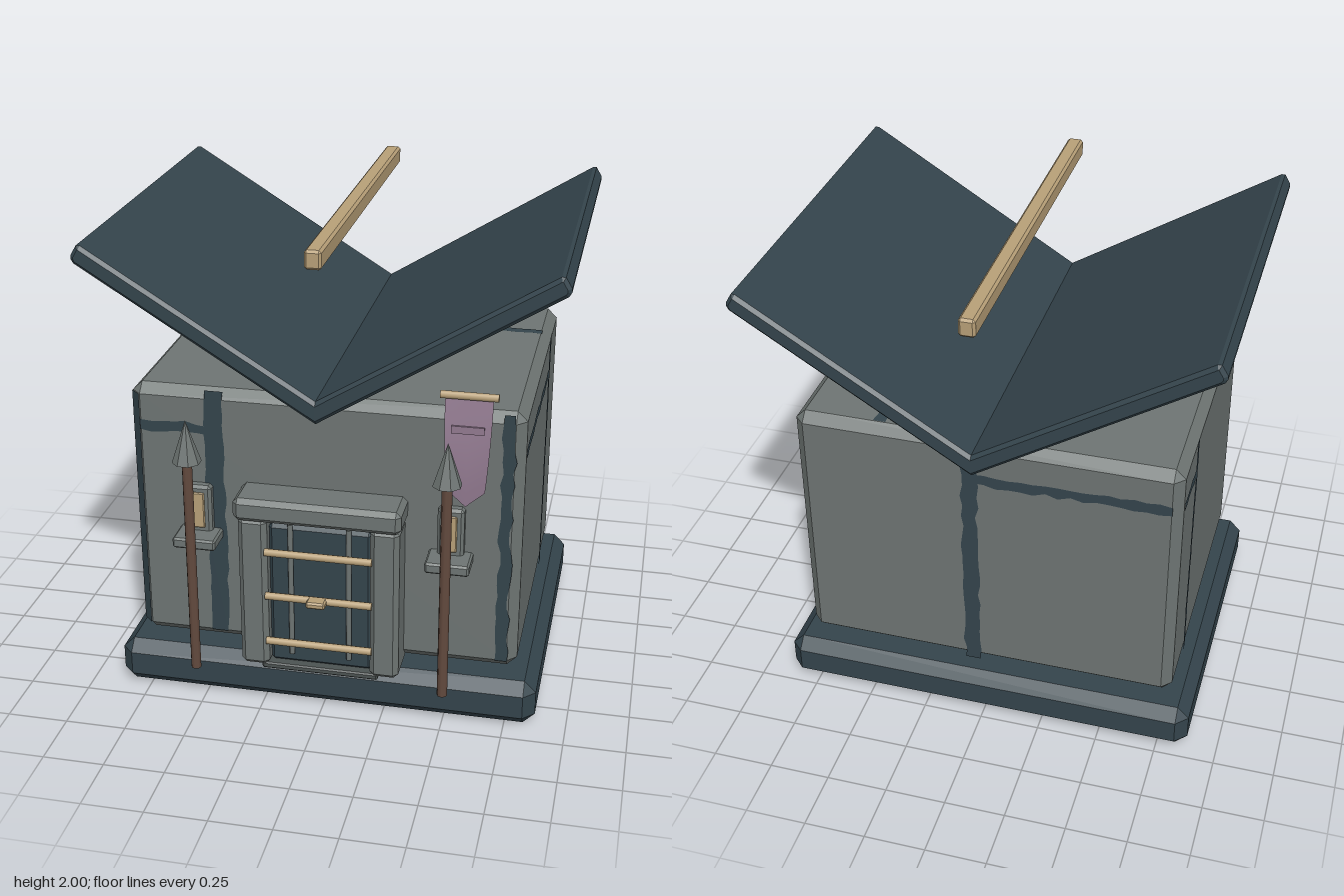
import * as THREE from 'three';
import { ConvexGeometry } from 'three/addons/geometries/ConvexGeometry.js';

const mat = (name, color, extra = {}) => {
  const m = new THREE.MeshStandardMaterial({ color, ...extra });
  m.name = name;
  return m;
};

export function createModel() {
  const model = new THREE.Group();
  model.name = 'hut';
  const stone = mat('stone grey', 0x6e7573);
  const slate = mat('slate blue', 0x34444c);
  const tan = mat('pale wood', 0xb8a078);
  const brown = mat('brown wood', 0x634a3e);
  const cloth = mat('purple cloth', 0x927a90, { side: THREE.DoubleSide });
  const shade = mat('dark stone', 0x4c5352);

  const add = (name, geo, material, x = 0, y = 0, z = 0, rx = 0, ry = 0, rz = 0) => {
    const m = new THREE.Mesh(geo, material);
    m.name = name;
    m.position.set(x, y, z);
    m.rotation.set(rx, ry, rz);
    model.add(m);
    return m;
  };

  // Box with flat chamfers, given by its limits
  const block = (name, material, [x0, x1], [y0, y1], [z0, z1], c) => {
    const h = [(x1 - x0) / 2, (y1 - y0) / 2, (z1 - z0) / 2];
    const pts = [];
    for (const sx of [-1, 1]) for (const sy of [-1, 1]) for (const sz of [-1, 1])
      for (let k = 0; k < 3; k++) {
        const p = h.map((v, i) => (i === k ? v : v - c));
        pts.push(new THREE.Vector3(p[0] * sx, p[1] * sy, p[2] * sz));
      }
    return add(name, new ConvexGeometry(pts), material, (x0 + x1) / 2, (y0 + y1) / 2, (z0 + z1) / 2);
  };

  // Foundation and walls
  block('foundation', slate, [-0.875, 0.873], [0, 0.196], [-0.72, 0.672], 0.048);
  block('walls', stone, [-0.787, 0.785], [0.232, 1.352], [-0.65, 0.607], 0.04);

  // Ragged dark cracks lying on the walls
  let seed = 7;
  const rnd = () => ((seed = (seed * 16807) % 2147483647) / 2147483647) - 0.5;
  const crack = (length, width) => {
    const n = Math.max(4, Math.round(length / 0.05));
    const left = [], right = [];
    for (let i = 0; i <= n; i++) {
      const y = (i / n - 0.5) * length;
      const drift = rnd() * 0.01;
      left.push(new THREE.Vector2(-width / 2 + drift + rnd() * 0.012, y));
      right.push(new THREE.Vector2(width / 2 + drift + rnd() * 0.012, y));
    }
    return new THREE.ShapeGeometry(new THREE.Shape([...right, ...left.reverse()]));
  };
  const q = Math.PI / 2, e = 0.003;
  const cracks = [
    // length, width, position, rotation
    [1.08, 0.075, [-0.447, 0.81, 0.607 + e], [0, 0, 0]],
    [1.08, 0.047, [0.722, 0.81, 0.607 + e], [0, 0, 0]],
    [0.28, 0.045, [-0.61, 1.18, 0.607 + e], [0, 0, q]],
    [1.1, 0.058, [0.785 + e, 0.79, -0.3], [0, q, 0]],
    [0.86, 0.04, [0.785 + e, 1.18, 0.15], [0, q, q]],
    [1.1, 0.065, [0.06, 0.79, -0.65 - e], [0, 2 * q, 0]],
    [0.8, 0.045, [-0.35, 1.18, -0.65 - e], [0, 2 * q, q]],
    [1.08, 0.035, [-0.787 - e, 0.79, -0.37], [0, -q, 0]],
    [0.24, 0.04, [-0.787 - e, 1.18, -0.49], [0, -q, q]],
    [0.5, 0.045, [0.5, 1.352 + e, -0.3], [-q, 0, q]],
    [0.3, 0.05, [0.43, 1.352 + e, -0.46], [-q, 0, 0]],
  ];
  for (const [len, w, p, r] of cracks) add('wallCrack', crack(len, w), slate, ...p, ...r);
  // Dark front corner strip
  add('cornerStrip', new THREE.PlaneGeometry(0.056, 1.04), slate, -0.767 - e, 0.792, 0.587 + e, 0, -Math.PI / 4, 0);

  // Upturned roof with a V section
  const half = [[0, 1.33], [0.9, 1.888], [0.934, 1.9], [0.934, 1.915], [0.91, 1.955], [0.895, 1.955], [0, 1.402]];
  half[0][1] = 1.31;
  half[1] = [0.925, 1.884];
  const roofShape = new THREE.Shape();
  half.forEach(([x, y], i) => (i ? roofShape.lineTo(x, y) : roofShape.moveTo(x, y)));
  half.slice(1, -1).reverse().forEach(([x, y]) => roofShape.lineTo(-x, y));
  const roofGeo = new THREE.ExtrudeGeometry(roofShape, {
    depth: 1.545, bevelEnabled: true, bevelThickness: 0.014, bevelSize: 0.014, bevelOffset: -0.014, bevelSegments: 1,
  });
  add('roof', roofGeo, slate, 0, 0, -0.796);
  block('ridgeBeam', tan, [-0.033, 0.033], [1.925, 2], [-0.815, 0.772], 0.01);

  // Door surround, door and fittings
  block('lintel', stone, [-0.338, 0.334], [0.87, 0.967], [0.57, 0.768], 0.02);
  for (const s of [-1, 1]) {
    const xs = s < 0 ? [-0.325, -0.208] : [0.208, 0.325];
    block('doorJamb', stone, xs, [0.208, 0.875], [0.55, 0.745], 0.02);
  }
  block('threshold', shade, [-0.24, 0.24], [0.188, 0.215], [0.55, 0.73], 0.006);
  block('door', slate, [-0.21, 0.21], [0.212, 0.838], [0.58, 0.7], 0.015);
  for (const x of [-0.118, 0.118])
    add('doorBar', new THREE.CylinderGeometry(0.011, 0.011, 0.59, 8), stone, x, 0.555, 0.707);
  for (const y of [0.325, 0.533, 0.73])
    add('doorStrap', new THREE.CylinderGeometry(0.016, 0.016, 0.434, 8), tan, 0, y, 0.735, 0, 0, q);
  block('doorLatch', tan, [-0.042, 0.036], [0.52, 0.548], [0.73, 0.785], 0.007);

  // Windows and spears on each side of the door
  for (const x of [-0.512, 0.51]) {
    block('windowFrame', stone, [x - 0.053, x + 0.053], [0.73, 0.948], [0.58, 0.645], 0.012);
    block('windowPane', tan, [x - 0.026, x + 0.026], [0.765, 0.92], [0.63, 0.652], 0.004);
    block('windowSill', stone, [x - 0.088, x + 0.088], [0.705, 0.75], [0.58, 0.732], 0.008);
    add('spearShaft', new THREE.CylinderGeometry(0.021, 0.021, 0.93, 8), brown, x, 0.645, 0.763);
    const tip = new THREE.ConeGeometry(0.058, 0.175, 8).toNonIndexed();
    tip.computeVertexNormals();
    add('spearTip', tip, stone, x, 1.198, 0.763, 0, Math.PI / 8, 0);
  }

  // Hanging banner, tapered to a point and curving forward
  add('bannerRod', new THREE.CylinderGeometry(0.016, 0.016, 0.22, 8), tan, 0.576, 1.45, 0.69, 0, 0, q);
  const banner = new THREE.PlaneGeometry(2, 1, 2, 8);
  const pos = banner.attributes.position;
  for (let i = 0; i < pos.count; i++) {
    const u = pos.getX(i), t = 0.5 - pos.getY(i);
    const y = -t * (0.37 + 0.065 * (1 - Math.abs(u)));
    pos.setXYZ(i, u * (0.091 - 0.018 * t * t), y, 0.033 * Math.sin(t * 2));
  }
  banner.computeVertexNormals();
  add('banner', banner, cloth, 0.575, 1.44, 0.69);
  add('bannerBadge', new THREE.BoxGeometry(0.125, 0.03, 0.008), cloth, 0.575, 1.32, 0.712);

  return model;
}
